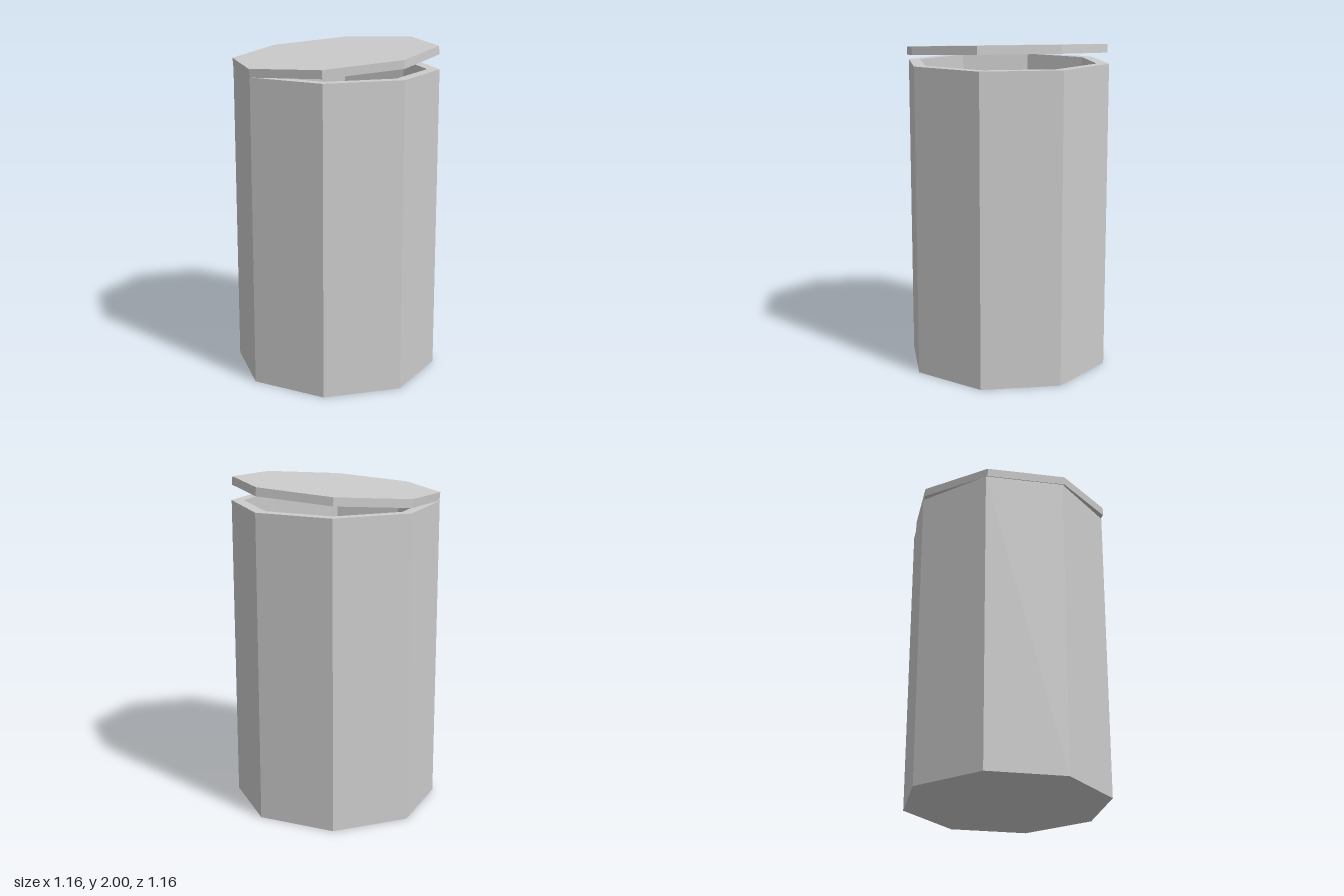
import * as THREE from 'three';

const SIDES = 8;
const RADIUS = 0.621;       // corner radius of the octagon
const INNER_RADIUS = 0.547;
const BODY_HEIGHT = 1.86;
const FLOOR = 0.07;
const LID_THICKNESS = 0.05;

export function createModel() {
  const group = new THREE.Group();
  const material = new THREE.MeshStandardMaterial({ color: 0xcccccc, flatShading: true });

  // Hollow octagonal container: outer wall, rim, inner wall and floor
  const profile = [
    [0, 0], [RADIUS, 0], [RADIUS, BODY_HEIGHT],
    [INNER_RADIUS, BODY_HEIGHT], [INNER_RADIUS, FLOOR], [0, FLOOR],
  ].map(([x, y]) => new THREE.Vector2(x, y));
  const body = new THREE.Mesh(new THREE.LatheGeometry(profile, SIDES, Math.PI / SIDES), material);
  body.name = 'container';
  body.position.set(0.002, 0, -0.005);
  body.rotation.y = -0.01;
  group.add(body);

  // Loose lid, resting on the left rim edge and raised on the other side
  const lid = new THREE.Mesh(
    new THREE.CylinderGeometry(RADIUS, RADIUS, LID_THICKNESS, SIDES, 1, false, Math.PI / SIDES),
    material
  );
  lid.name = 'lid';
  lid.position.set(-0.005, 1.931, 0.005);
  lid.rotation.set(0, -0.01, THREE.MathUtils.degToRad(4.5), 'ZYX');
  group.add(lid);

  return group;
}
